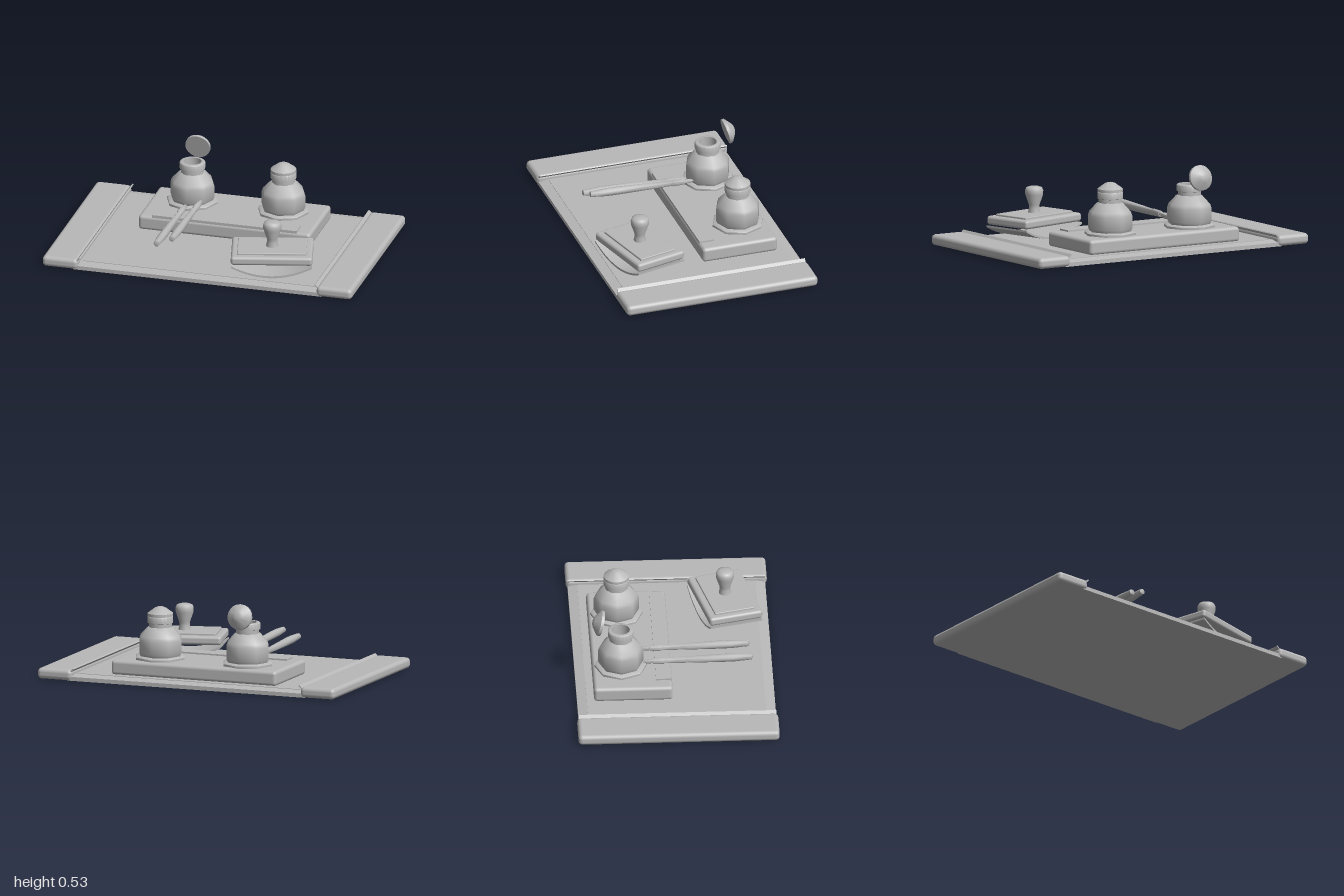
import * as THREE from 'three';
import { toCreasedNormals } from 'three/addons/utils/BufferGeometryUtils.js';
import { RoundedBoxGeometry } from 'three/addons/geometries/RoundedBoxGeometry.js';

export function createModel() {
  const model = new THREE.Group();
  const grey = new THREE.MeshStandardMaterial({ color: 0xb8b8b8 });
  grey.name = 'plain grey';

  const add = (parent, name, geometry, x = 0, y = 0, z = 0) => {
    const mesh = new THREE.Mesh(geometry, grey);
    mesh.name = name;
    mesh.position.set(x, y, z);
    parent.add(mesh);
    return mesh;
  };
  const group = (name, x, y, z) => {
    const g = new THREE.Group();
    g.name = name;
    g.position.set(x, y, z);
    model.add(g);
    return g;
  };
  const box = (w, h, d, r) => (r ? new RoundedBoxGeometry(w, h, d, 3, r) : new THREE.BoxGeometry(w, h, d));
  // turned part from [radius, height] pairs, listed from the bottom up
  const turned = (points, sides) =>
    toCreasedNormals(new THREE.LatheGeometry(points.map(([r, y]) => new THREE.Vector2(r, y)), sides), 0.9);
  // outline in the xy plane, extruded along z and centred
  const extruded = (points, depth) => {
    const shape = new THREE.Shape(points.map(([x, y]) => new THREE.Vector2(x, y)));
    return new THREE.ExtrudeGeometry(shape, { depth, bevelEnabled: false }).translate(0, 0, -depth / 2);
  };

  // Desk pad with sloping front and back edges, and a sheet of paper
  const pad = group('deskPad', 0, 0, 0);
  const section = [[-0.615, 0], [0.615, 0], [0.615, 0.025], [0.555, 0.037], [-0.555, 0.037], [-0.615, 0.025]];
  add(pad, 'padBoard', extruded(section, 1.6).rotateY(Math.PI / 2));
  add(pad, 'paper', box(1.51, 0.008, 1.11), 0, 0.036, 0);

  // Side rails with a small raised lip on the inner edge
  for (const s of [-1, 1]) {
    add(pad, 'sideRail', box(0.23, 0.068, 1.252, 0.026), s * 0.885, 0.034, 0);
    const lip = add(pad, 'railLip', box(0.026, 0.008, 1.23), s * 0.769, 0.066, 0);
    lip.rotation.z = -s * 0.8;
  }

  // Inkstand base and raised pen rest
  const stand = group('inkstand', 0, 0, 0);
  add(stand, 'standBase', box(1.11, 0.095, 0.49, 0.022), -0.005, 0.0825, -0.265);
  add(stand, 'penRest', box(0.935, 0.02, 0.095), -0.005, 0.13, -0.073);

  // Inkwells: octagonal foot and body, round hollow neck, shallow conical lid
  const foot = [[0, 0], [0.163, 0], [0.163, 0.013], [0.152, 0.021], [0, 0.021]];
  const body = [[0, 0], [0.132, 0], [0.141, 0.02], [0.141, 0.1], [0.132, 0.125], [0.085, 0.175], [0.07, 0.183]];
  const neck = [[0.072, 0.17], [0.072, 0.204], [0.08, 0.207], [0.08, 0.245], [0.074, 0.25],
    [0.057, 0.25], [0.057, 0.12], [0, 0.12]];
  const lid = [[0, 0], [0.08, 0], [0.08, 0.018], [0.035, 0.051], [0.018, 0.058], [0, 0.058]];
  const inkwell = (name, x) => {
    const well = group(name, x, 0.13, -0.333);
    add(well, 'wellFoot', turned(foot, 8));
    add(well, 'wellBody', turned(body, 8), 0, 0.02, 0);
    add(well, 'wellNeck', turned(neck, 20), 0, 0.019, 0);
    return add(well, 'wellLid', turned(lid, 20), 0, 0.268, 0);
  };
  inkwell('closedInkwell', 0.29);
  const openLid = inkwell('openInkwell', -0.298);
  openLid.position.set(0, 0.318, -0.117);
  openLid.rotation.x = -1.318;

  // Two dip pens resting on the stand, nibs to the back
  const holder = [[0, -0.31], [0.018, -0.31], [0.02, -0.235], [0.016, -0.23], [0.02, -0.1],
    [0.025, 0.12], [0.025, 0.2], [0.018, 0.305], [0, 0.312]];
  const nib = [[0.004, -0.37], [0.013, -0.35], [0.013, -0.305]];
  const pen = (x, y, z, tilt) => {
    const p = group('dipPen', x, y, z);
    p.rotation.x = Math.PI / 2 - tilt;
    add(p, 'penHolder', turned(holder, 12));
    add(p, 'penNib', turned([[0, -0.37], ...nib, [0, -0.305]], 10));
  };
  pen(-0.3, 0.168, 0.178, 0.025);
  pen(-0.205, 0.204, 0.162, 0.03);

  // Rocker blotter: board, top plate, knob and curved sheet
  const blotter = group('rockerBlotter', 0.41, 0, 0.348);
  blotter.rotation.y = 0.245;
  add(blotter, 'blotterBoard', box(0.507, 0.055, 0.342, 0.018), 0, 0.152, 0);
  add(blotter, 'blotterPlate', box(0.43, 0.022, 0.255, 0.005), 0, 0.181, 0);
  const knob = [[0, 0], [0.039, 0], [0.033, 0.03], [0.034, 0.05], [0.056, 0.115], [0.057, 0.14],
    [0.05, 0.158], [0.03, 0.165], [0, 0.167]];
  add(blotter, 'blotterKnob', turned(knob, 20), 0, 0.19, 0);

  const lower = [], upper = [];
  for (let i = 0; i <= 16; i++) {
    const t = i / 8 - 1;
    lower.push([t * 0.252, 0.042 + 0.066 * t * t]);
    upper.unshift([t * 0.252, 0.056 + 0.064 * t * t]);
  }
  add(blotter, 'blotterSheet', toCreasedNormals(extruded([...lower, ...upper], 0.34), 0.6));

  return model;
}
